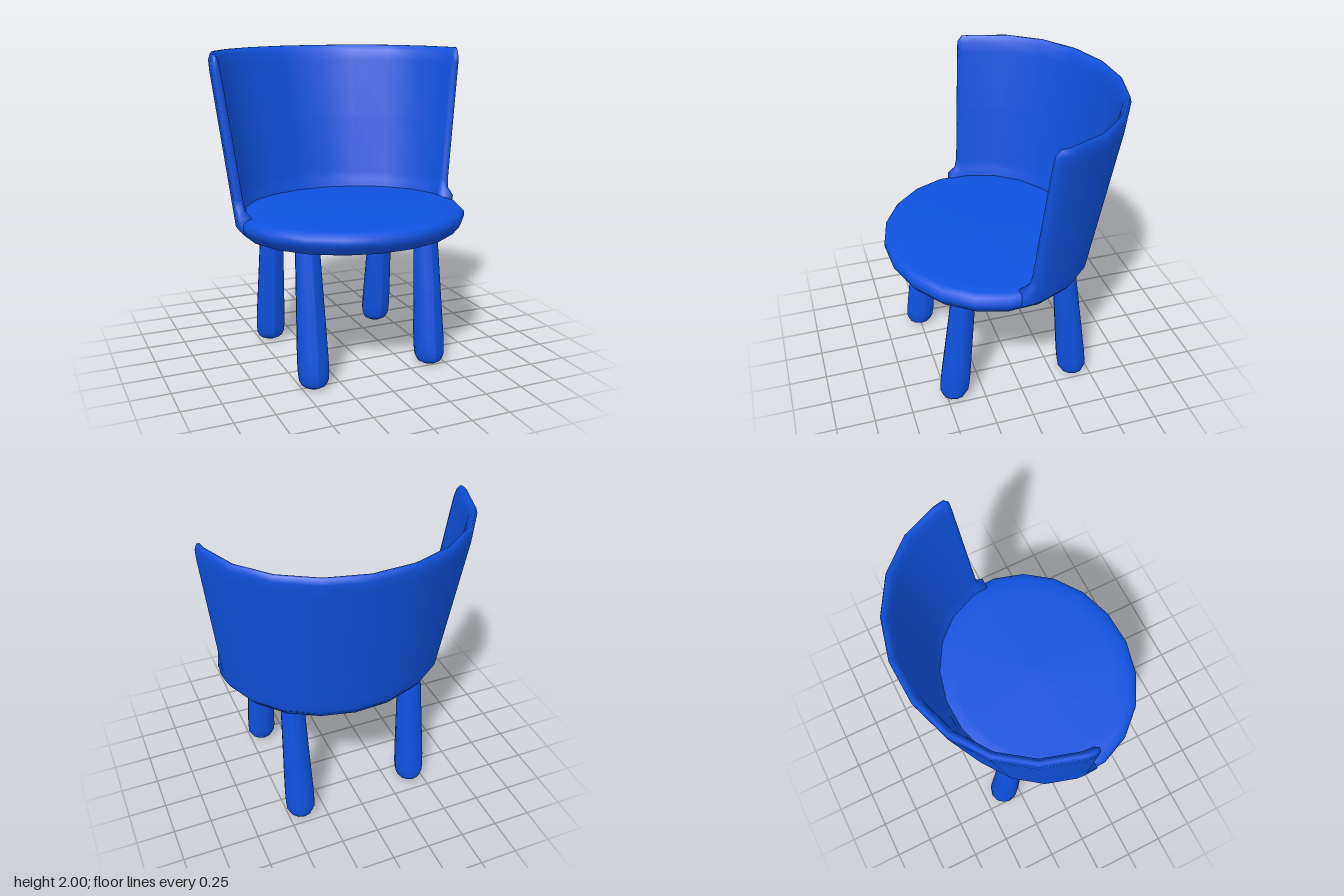
import * as THREE from 'three';

const blue = new THREE.MeshStandardMaterial({ color: 0x0f52e0 });
blue.name = 'blue';

const rad = THREE.MathUtils.degToRad;

// Turned shape from [radius, height] pairs
function turned(profile, sides, start) {
  const pts = profile.map(([r, y]) => new THREE.Vector2(r, y));
  return new THREE.LatheGeometry(pts, sides, start);
}

// Round seat with a soft rim, a little wider than deep
function makeSeat() {
  const geo = turned([
    [0, 0.845], [0.6, 0.845], [0.8, 0.846], [0.93, 0.872], [0.985, 0.92], [1, 0.945],
    [0.998, 0.975], [0.97, 0.998], [0.92, 1.01], [0.8, 1.014], [0, 1.018],
  ], 20, rad(-6));
  geo.scale(0.755, 1, 0.665).translate(0, 0, 0.095);
  const seat = new THREE.Mesh(geo, blue);
  seat.name = 'seat';
  return seat;
}

// Flaring wall that wraps around the rear half of the seat
function makeBackrest() {
  // [inset from the outer surface, height], outer face then inner face
  const outer = [[0.01, 0.92], [0, 0.94], [0, 1.015], [0, 1.06], [0, 1.12],
    [0, 1.5], [0, 1.9], [0.004, 1.965], [0.02, 2]];
  const inner = [[0.075, 0.92], [0.075, 0.94], [0.075, 1.015], [0.066, 1.06], [0.062, 1.12],
    [0.06, 1.5], [0.056, 1.9], [0.052, 1.965], [0.038, 2]];
  const loop = [...outer, ...inner.reverse()];
  const n = loop.length;

  // Columns: [angle, direction of the rounded end or 0]
  const columns = [[95, -1], [97, 0]];
  for (let a = 102; a <= 264; a += 18) columns.push([a, 0]);
  columns.push([269, 0], [271, 1]);

  const pos = [];
  for (const [angle, end] of columns) {
    for (let [d, y] of loop) {
      let t = angle;
      if (end) {
        // Narrow the free end, round its top and spread its foot
        if (y > 1.03) d = THREE.MathUtils.lerp(d, 0.03, 0.45);
        t += end * (y < 1.03 ? 5 : y < 1.08 ? 1 : 0);
        if (y > 1.95) y -= 0.03;
      }
      const k = (y - 0.93) / 1.07;
      const rx = 0.755 + 0.125 * k - d;
      const rz = 0.665 + 0.125 * k - d;
      pos.push(rx * Math.sin(rad(t)), y, 0.095 - 0.075 * k + rz * Math.cos(rad(t)));
    }
  }

  const index = [];
  const last = (columns.length - 1) * n;
  for (let i = 0; i < columns.length - 1; i++) {
    for (let j = 0; j < n; j++) {
      const a = i * n + j, b = i * n + (j + 1) % n;
      index.push(a, a + n, b, b, a + n, b + n);
    }
  }
  // Close both free ends
  for (let j = 0; j < n / 2 - 1; j++) {
    const a = j, b = j + 1, c = n - 2 - j, d = n - 1 - j;
    index.push(a, b, c, a, c, d);
    index.push(last + a, last + c, last + b, last + a, last + d, last + c);
  }
  const geo = new THREE.BufferGeometry();
  geo.setAttribute('position', new THREE.Float32BufferAttribute(pos, 3));
  geo.setIndex(index);
  geo.computeVertexNormals();
  const back = new THREE.Mesh(geo, blue);
  back.name = 'backrest';
  return back;
}

// Club-shaped leg, leaning from its foot to the seat
function makeLeg(name, x, footZ, topZ) {
  const geo = turned([
    [0, 0], [0.05, 0.005], [0.08, 0.022], [0.095, 0.055], [0.099, 0.11],
    [0.098, 0.2], [0.088, 0.5], [0.076, 0.87],
  ], 12, 0);
  const lean = (topZ - footZ) / 0.84;
  const p = geo.attributes.position;
  for (let i = 0; i < p.count; i++) {
    p.setZ(i, p.getZ(i) + footZ + lean * p.getY(i));
  }
  geo.translate(x, 0, 0);
  geo.computeVertexNormals();
  const leg = new THREE.Mesh(geo, blue);
  leg.name = name;
  return leg;
}

export function createModel() {
  const chair = new THREE.Group();
  chair.name = 'chair';
  chair.add(makeSeat(), makeBackrest());
  chair.add(
    makeLeg('frontLeftLeg', 0.41, 0.45, 0.36),
    makeLeg('frontRightLeg', -0.42, 0.5, 0.41),
    makeLeg('rearLeftLeg', 0.41, -0.395, -0.305),
    makeLeg('rearRightLeg', -0.42, -0.36, -0.275),
  );
  return chair;
}
